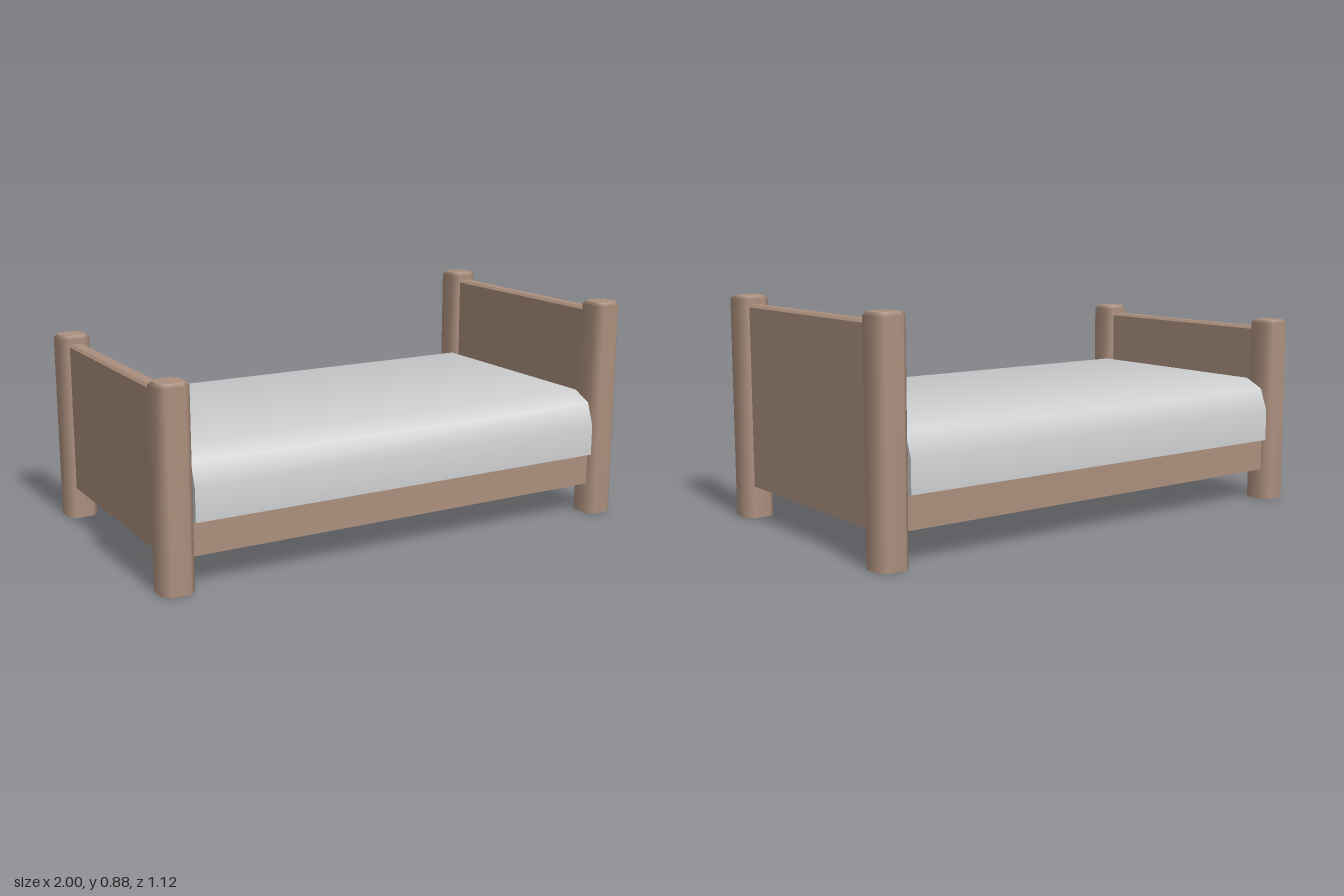
import * as THREE from 'three';
import { mergeGeometries } from 'three/addons/utils/BufferGeometryUtils.js';

const wood = new THREE.MeshStandardMaterial({ name: 'wood', color: 0xab8f7d });
const bedding = new THREE.MeshStandardMaterial({ name: 'bedding', color: 0xcbcdcf });

// Square post with softened corners and a small bevel around the top
function postGeometry(height) {
  const h = 0.0625, k = 0.035;
  const octagon = [[h, k], [k, h], [-k, h], [-h, k], [-h, -k], [-k, -h], [k, -h], [h, -k]];
  const rings = [[0, 1], [height - 0.014, 1], [height, 0.8]];
  const positions = [], index = [];
  for (const [y, s] of rings) for (const [x, z] of octagon) positions.push(x * s, y, z * s);
  for (let r = 0; r < 2; r++) {
    for (let i = 0; i < 8; i++) {
      const a = r * 8 + i, b = r * 8 + (i + 1) % 8;
      index.push(a, a + 8, b, b, a + 8, b + 8);
    }
  }
  const sides = new THREE.BufferGeometry();
  sides.setAttribute('position', new THREE.Float32BufferAttribute(positions, 3));
  sides.setIndex(index);
  sides.computeVertexNormals();

  const outline = s => new THREE.Shape(octagon.map(([x, z]) => new THREE.Vector2(x * s, z * s)));
  const top = new THREE.ShapeGeometry(outline(0.8)).rotateX(-Math.PI / 2).translate(0, height, 0);
  const bottom = new THREE.ShapeGeometry(outline(1)).rotateX(Math.PI / 2);
  for (const g of [top, bottom]) g.deleteAttribute('uv');
  return mergeGeometries([sides, top, bottom]);
}

// Upright end panel with chamfered top edges
function panelGeometry(bottom, top) {
  const t = 0.031, c = 0.01, length = 0.9;
  const profile = [[-t, bottom], [t, bottom], [t, top - c], [t - c, top], [c - t, top], [-t, top - c]];
  const shape = new THREE.Shape(profile.map(p => new THREE.Vector2(...p)));
  return new THREE.ExtrudeGeometry(shape, { depth: length, bevelEnabled: false }).translate(0, 0, -length / 2);
}

// Mattress: rounded cross-section swept along x, smooth on top with flat ends
function mattressGeometry(halfLength) {
  const half = [[0.557, 0.255], [0.557, 0.38], [0.525, 0.468], [0.445, 0.505]];
  const profile = [...half, ...half.map(([z, y]) => [-z, y]).reverse()];
  const n = profile.length;
  const edgeNormals = profile.slice(1).map(([z, y], i) =>
    new THREE.Vector3(0, profile[i][0] - z, y - profile[i][1]).normalize());
  const positions = [], normals = [], index = [];
  profile.forEach(([z, y], i) => {
    const normal = edgeNormals[Math.max(i - 1, 0)].clone().add(edgeNormals[Math.min(i, n - 2)]).normalize();
    for (const x of [-halfLength, halfLength]) {
      positions.push(x, y, z);
      normals.push(...normal.toArray());
    }
    if (i < n - 1) {
      const a = i * 2;
      index.push(a, a + 1, a + 3, a, a + 3, a + 2);
    }
  });
  const skin = new THREE.BufferGeometry();
  skin.setAttribute('position', new THREE.Float32BufferAttribute(positions, 3));
  skin.setAttribute('normal', new THREE.Float32BufferAttribute(normals, 3));
  skin.setIndex(index);

  const shape = new THREE.Shape(profile.map(p => new THREE.Vector2(...p)));
  const ends = [1, -1].map(s =>
    new THREE.ShapeGeometry(shape).rotateY(s * Math.PI / 2).translate(s * halfLength, 0, 0));
  const under = new THREE.PlaneGeometry(halfLength * 2, half[0][0] * 2)
    .rotateX(Math.PI / 2).translate(0, half[0][1], 0);
  for (const g of [...ends, under]) g.deleteAttribute('uv');
  return mergeGeometries([skin, ...ends, under]);
}

export function createModel() {
  const bed = new THREE.Group();
  bed.name = 'bed';
  const add = (name, geometry, material, x = 0, y = 0, z = 0, parent = bed) => {
    const mesh = new THREE.Mesh(geometry, material);
    mesh.name = name;
    mesh.position.set(x, y, z);
    parent.add(mesh);
  };

  // Head end is taller than the foot end
  for (const [name, side, height] of [['head', 1, 0.877], ['foot', -1, 0.753]]) {
    const end = new THREE.Group();
    end.name = name + 'End';
    bed.add(end);
    const post = postGeometry(height);
    for (const z of [0.5, -0.5]) add(name + 'Post', post, wood, side * 0.9375, 0, z, end);
    add(name + 'Board', panelGeometry(0.127, height - 0.034), wood, side * 0.9365, 0, 0, end);
  }

  // Frame and mattress between the ends
  add('bedFrame', new THREE.BoxGeometry(1.84, 0.128, 1.07), wood, 0, 0.191, 0);
  add('mattress', mattressGeometry(0.875), bedding);
  return bed;
}
